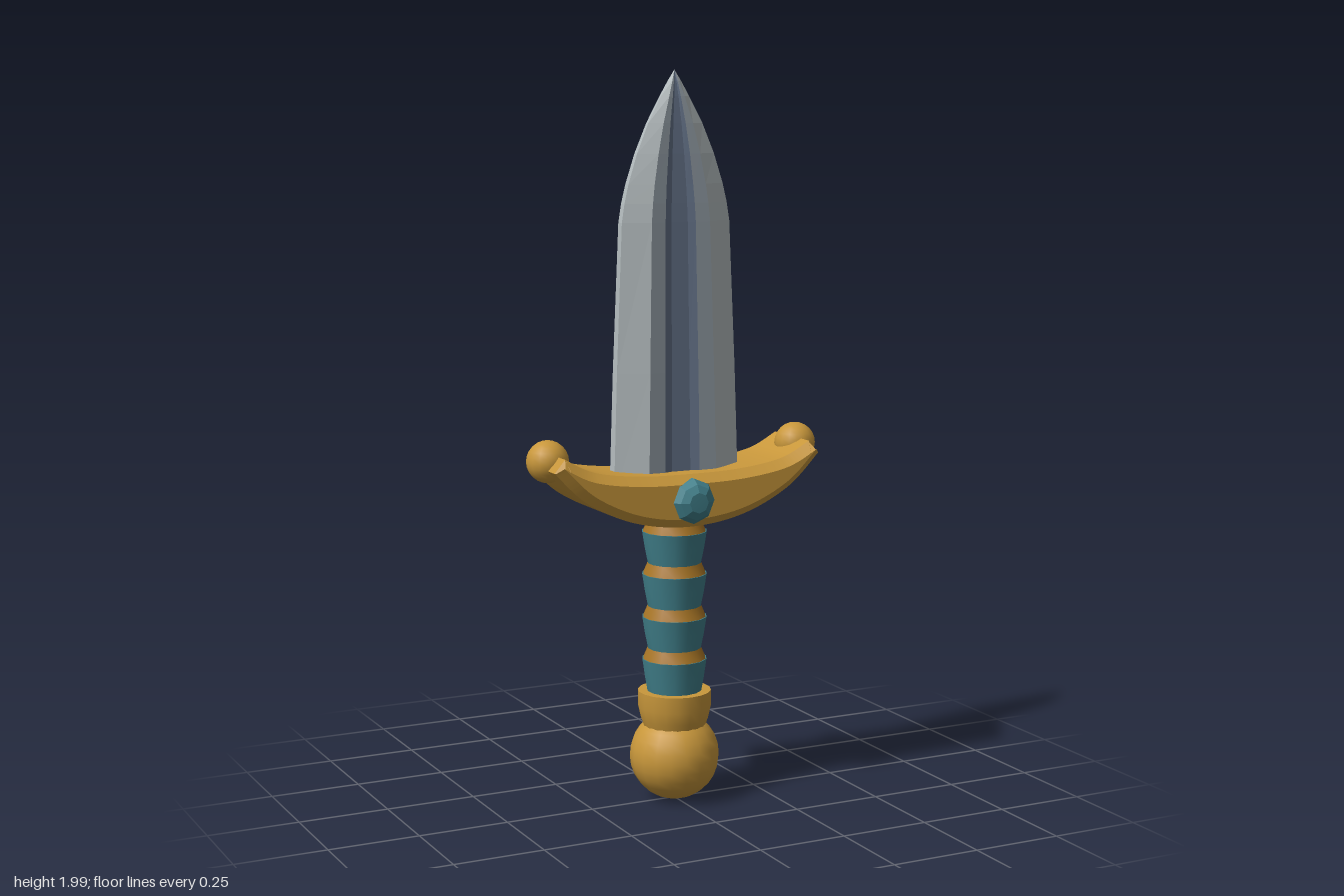
import * as THREE from 'three';
import { toCreasedNormals } from 'three/addons/utils/BufferGeometryUtils.js';

const mat = (name, color) => {
  const m = new THREE.MeshStandardMaterial({ color });
  m.name = name;
  return m;
};

export function createModel() {
  const gold = mat('gold', 0xc8973b);
  const bronze = mat('bronze', 0xa67425);
  const teal = mat('teal', 0x41808b);
  const edgeSteel = mat('edge steel', 0xb4bcbe);
  const steel = mat('steel', 0x8d979f);
  const darkSteel = mat('dark steel', 0x637187);

  const root = new THREE.Group();
  root.name = 'dagger';
  const add = (name, geo, material, x = 0, y = 0, z = 0) => {
    const mesh = new THREE.Mesh(geo, material);
    mesh.name = name;
    mesh.position.set(x, y, z);
    root.add(mesh);
    return mesh;
  };
  const lathe = (pts, sides, crease = 0.6) => toCreasedNormals(
    new THREE.LatheGeometry(pts.map(p => new THREE.Vector2(...p)), sides), crease);

  // Blade: height, half width, half thickness
  const stations = [
    [0.86, 0.188, 0.054], [1.2, 0.177, 0.049], [1.6, 0.16, 0.041], [1.65, 0.152, 0.039],
    [1.7, 0.14, 0.036], [1.78, 0.114, 0.031], [1.86, 0.08, 0.024], [1.93, 0.042, 0.016],
    [1.97, 0.019, 0.009], [2, 0, 0],
  ];
  const ring = ([y, w, t]) => {
    const quarter = [[w, t * 0.27], [w * 0.54, t], [w * 0.28, t * 0.94], [w * 0.15, t * 0.78]];
    const front = [...quarter, ...quarter.map(([x, z]) => [-x, z]).reverse()];
    return [...front, ...front.map(([x, z]) => [-x, -z])].map(([x, z]) => [x, y, z]);
  };
  const rings = stations.map(ring);
  const bladeStrips = (name, material, columns) => {
    const pos = [];
    for (let k = 0; k < rings.length - 1; k++) {
      for (let i = 0; i < 16; i++) {
        if (!columns.includes(i % 8)) continue;
        const j = (i + 1) % 16, lo = rings[k], hi = rings[k + 1];
        pos.push(...lo[i], ...hi[i], ...lo[j], ...lo[j], ...hi[i], ...hi[j]);
      }
    }
    const geo = new THREE.BufferGeometry();
    geo.setAttribute('position', new THREE.Float32BufferAttribute(pos, 3));
    geo.computeVertexNormals();
    add(name, geo, material);
  };
  bladeStrips('bladeEdges', edgeSteel, [0, 6, 7]);
  bladeStrips('bladeFlats', steel, [1, 5]);
  bladeStrips('bladeFuller', darkSteel, [2, 3, 4]);

  // Crescent guard with chamfered rims
  const v = (x, y) => new THREE.Vector2(x, y);
  const shape = new THREE.Shape();
  shape.moveTo(-0.395, 0.96);
  shape.splineThru([v(-0.3, 0.872), v(-0.16, 0.808), v(0, 0.786), v(0.16, 0.808), v(0.3, 0.872), v(0.395, 0.96)]);
  shape.lineTo(0.365, 0.995);
  shape.splineThru([v(0.28, 0.954), v(0.15, 0.934), v(0, 0.93), v(-0.15, 0.934), v(-0.28, 0.954), v(-0.365, 0.995)]);
  shape.closePath();
  const guard = new THREE.ExtrudeGeometry(shape, {
    depth: 0.19, curveSegments: 20, bevelEnabled: true, bevelSegments: 1,
    bevelSize: 0.024, bevelThickness: 0.024, bevelOffset: -0.024,
  });
  guard.translate(0, 0, -0.095);
  add('guard', toCreasedNormals(guard, 0.4), gold);

  // Guard end balls and cut gems
  for (const s of [1, -1]) {
    add(s > 0 ? 'leftGuardBall' : 'rightGuardBall',
      new THREE.SphereGeometry(0.057, 16, 12), gold, 0.374 * s, 0.977, 0);
    const gem = add(s > 0 ? 'frontGem' : 'backGem',
      lathe([[0.062, -0.02], [0.062, 0.012], [0.049, 0.032], [0.028, 0.044], [0, 0.045]], 8, 0.1),
      teal, 0, 0.859, 0.106 * s);
    gem.rotation.x = s * Math.PI / 2;
  }

  // Grip: flared wraps separated by conical bands
  const bands = [0.79, 0.672, 0.552, 0.434];
  bands.forEach((top, i) => {
    const low = top - 0.03;
    const next = bands[i + 1] ?? 0.305;
    add('gripBand' + (i + 1), lathe([[0.087, low], [0.074, top]], 14), bronze);
    add('gripWrap' + (i + 1), lathe([[0.074, next], [0.083, (low + next) / 2], [0.09, low], [0.085, low]], 14), teal);
  });

  // Collar and pommel
  add('collar', lathe([[0, 0.21], [0.084, 0.21], [0.093, 0.235], [0.101, 0.27], [0.101, 0.314], [0, 0.314]], 18), gold);
  add('pommel', new THREE.SphereGeometry(0.124, 18, 14), gold, 0, 0.13, 0);

  return root;
}
